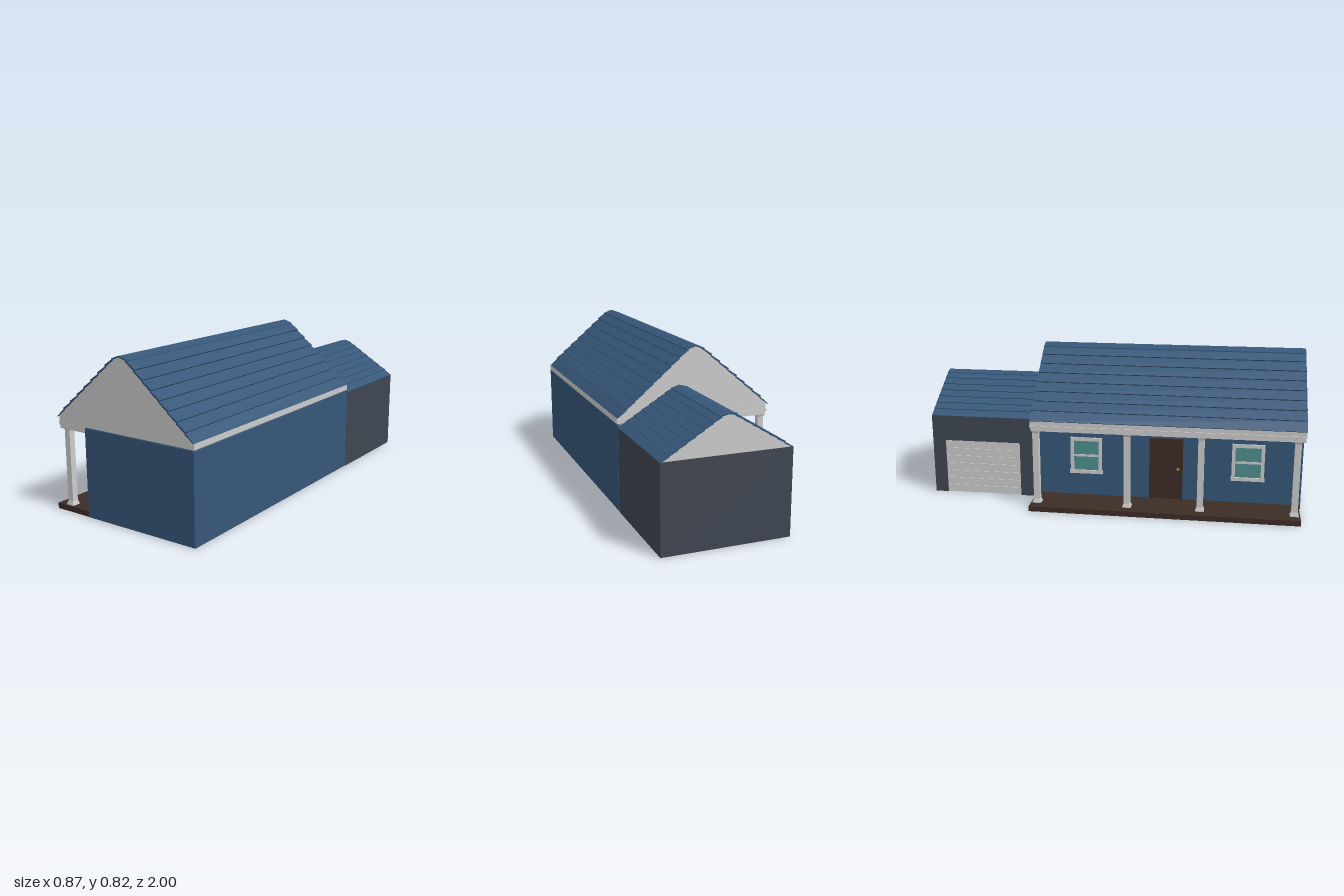
import * as THREE from 'three';
import { RoundedBoxGeometry } from 'three/addons/geometries/RoundedBoxGeometry.js';

const mat = (color) => new THREE.MeshStandardMaterial({ color });
const white = mat(0xcccccc), blue = mat(0x375779), slate = mat(0x3f4651);
const brown = mat(0x3d2c26), glass = mat(0x4f8f8f), brass = mat(0x8a7a3c);

function add(parent, name, geometry, material, x = 0, y = 0, z = 0) {
  const mesh = new THREE.Mesh(geometry, material);
  mesh.name = name;
  mesh.position.set(x, y, z);
  parent.add(mesh);
  return mesh;
}

// Box given by its limits on each axis
function box(parent, name, material, [x0, x1], [y0, y1], [z0, z1], radius = 0) {
  const size = [x1 - x0, y1 - y0, z1 - z0];
  const geometry = radius ? new RoundedBoxGeometry(...size, 2, radius) : new THREE.BoxGeometry(...size);
  return add(parent, name, geometry, material, (x0 + x1) / 2, (y0 + y1) / 2, (z0 + z1) / 2);
}

// Outline in the xy plane, run along z
function prism(parent, name, material, points, z0, z1) {
  const shape = new THREE.Shape(points.map(([x, y]) => new THREE.Vector2(x, y)));
  const geometry = new THREE.ExtrudeGeometry(shape, { depth: z1 - z0, bevelEnabled: false });
  return add(parent, name, geometry, material, 0, 0, z0);
}

// Gable block with overlapping shingle rows and a ridge cap
function makeRoof(name, { cx, half, eave, top, capHalf, capDrop, z0, z1, rows, lift }) {
  const roof = new THREE.Group();
  roof.name = name;
  const capY = top - capDrop;
  prism(roof, 'gable', white, [
    [cx - half + 0.008, eave], [cx + half - 0.008, eave],
    [cx + capHalf, capY - 0.006], [cx, top - 0.005], [cx - capHalf, capY - 0.006],
  ], z0, z1);
  const run = half - capHalf, rise = capY - eave, len = Math.hypot(run, rise);
  const nx = rise / len, ny = run / len;
  for (const s of [-1, 1]) {
    for (let i = 0; i < rows; i++) {
      const at = (t, h) => [cx + s * (half - run * t + nx * h), eave + rise * t + ny * h];
      const a = i / rows, b = (i + 1) / rows;
      const up = i ? lift : 0;
      prism(roof, 'shingleRow', blue, [at(a, -0.004), at(a, up), at(b, 0), at(b, -0.008)], z0 - 0.001, z1 + 0.001);
    }
  }
  const w = capHalf + 0.008;
  prism(roof, 'ridgeCap', blue, [
    [cx - w, capY - 0.005], [cx - w, capY], [cx - 0.008, top - 0.002], [cx, top],
    [cx + 0.008, top - 0.002], [cx + w, capY], [cx + w, capY - 0.005], [cx, top - 0.008],
  ], z0 - 0.001, z1 + 0.001);
  return roof;
}

// Square porch post with flared base and capital
function makePost(x, z) {
  const post = new THREE.Group();
  post.name = 'porchPost';
  post.position.set(x, 0, z);
  const flare = (name, topW, botW, y0, y1) => {
    const g = new THREE.CylinderGeometry(topW * Math.SQRT1_2, botW * Math.SQRT1_2, y1 - y0, 4, 1).toNonIndexed();
    g.rotateY(Math.PI / 4);
    g.computeVertexNormals();
    add(post, name, g, white, 0, (y0 + y1) / 2, 0);
  };
  flare('postFoot', 0.045, 0.045, 0.028, 0.033);
  flare('postBase', 0.032, 0.043, 0.033, 0.05);
  flare('postShaft', 0.032, 0.032, 0.05, 0.412);
  flare('postCapital', 0.042, 0.032, 0.412, 0.426);
  return post;
}

// Sash window on the porch wall
function makeWindow(z) {
  const win = new THREE.Group();
  win.name = 'window';
  const w = 0.085, x = [-0.232, -0.218], y0 = 0.152, y1 = 0.352;
  box(win, 'glassPane', glass, [-0.225, -0.218], [y0, y1], [z - w + 0.01, z + w - 0.01]);
  for (const s of [-1, 1]) {
    const edge = z + s * (w - 0.009);
    box(win, 'windowJamb', white, x, [y0, y1], [edge - 0.009, edge + 0.009]);
  }
  box(win, 'windowSill', white, [-0.235, -0.218], [y0, y0 + 0.018], [z - w - 0.004, z + w + 0.004]);
  box(win, 'windowHead', white, x, [y1 - 0.018, y1], [z - w, z + w]);
  box(win, 'meetingRail', white, [-0.229, -0.218], [0.246, 0.258], [z - w, z + w]);
  return win;
}

function makeDoor(z) {
  const door = new THREE.Group();
  door.name = 'frontDoor';
  box(door, 'doorLeaf', brown, [-0.225, -0.218], [0.028, 0.35], [z - 0.08, z + 0.08]);
  for (const s of [-1, 1]) {
    const edge = z + s * 0.081;
    box(door, 'doorJamb', brown, [-0.231, -0.218], [0.028, 0.365], [edge - 0.008, edge + 0.008]);
    for (const [y0, y1] of [[0.055, 0.17], [0.22, 0.325]]) {
      const mid = z + s * 0.036;
      box(door, 'doorPanel', brown, [-0.228, -0.218], [y0, y1], [mid - 0.026, mid + 0.026]);
    }
  }
  box(door, 'doorHead', brown, [-0.231, -0.218], [0.35, 0.365], [z - 0.089, z + 0.089]);
  const stem = add(door, 'knobStem', new THREE.CylinderGeometry(0.004, 0.004, 0.014, 10), brass, -0.23, 0.2, z + 0.064);
  stem.rotation.z = Math.PI / 2;
  const knob = add(door, 'knob', new THREE.SphereGeometry(0.009, 14, 10), brass, -0.238, 0.2, z + 0.064);
  knob.scale.x = 0.8;
  return door;
}

function makeGarage() {
  const garage = new THREE.Group();
  garage.name = 'garage';
  const zr = [-0.93, -0.51], top = 0.3, back = -0.2;
  // Walls around the door opening
  box(garage, 'garageBody', slate, [back, 0.432], [0, 0.44], [-1, -0.418]);
  box(garage, 'doorSideWall', slate, [-0.215, back], [0, 0.44], [-1, zr[0]]);
  box(garage, 'doorSideWall', slate, [-0.215, back], [0, 0.44], [zr[1], -0.418]);
  box(garage, 'doorLintel', slate, [-0.215, back], [top, 0.44], zr);
  // Sectional door
  const rows = 7, h = top / rows;
  box(garage, 'garageDoor', white, [-0.206, back], [0, top], zr);
  for (let i = 0; i < rows; i++) {
    box(garage, 'garageDoorPanel', white, [-0.21, back], [i * h + 0.002, (i + 1) * h - 0.002], zr);
  }
  garage.add(makeRoof('garageRoof', {
    cx: 0.109, half: 0.324, eave: 0.44, top: 0.63, capHalf: 0.035, capDrop: 0.012,
    z0: -0.998, z1: -0.419, rows: 7, lift: 0.004,
  }));
  return garage;
}

export function createModel() {
  const house = new THREE.Group();
  house.name = 'house';

  // Main block and porch floor
  box(house, 'mainWalls', blue, [-0.22, 0.435], [0.002, 0.455], [-0.415, 1], 0.006);
  box(house, 'porchDeck', brown, [-0.437, -0.215], [0, 0.028], [-0.412, 0.99]);

  // Entablature around the roof base and porch beams below it
  box(house, 'frieze', white, [-0.387, 0.434], [0.455, 0.484], [-0.405, 0.998]);
  box(house, 'cornice', white, [-0.393, -0.215], [0.447, 0.455], [-0.408, 0.999]);
  box(house, 'porchBeam', white, [-0.387, -0.34], [0.425, 0.447], [-0.403, 0.995]);
  for (const z of [-0.38, 0.972]) {
    box(house, 'porchEndBeam', white, [-0.387, -0.215], [0.425, 0.447], [z - 0.023, z + 0.023]);
  }
  for (let i = 0; i < 70; i++) {
    const z = -0.395 + i * 0.02;
    box(house, 'dentil', white, [-0.391, -0.385], [0.44, 0.447], [z, z + 0.01]);
  }

  house.add(makeRoof('mainRoof', {
    cx: 0.0165, half: 0.417, eave: 0.484, top: 0.822, capHalf: 0.04, capDrop: 0.017,
    z0: -0.404, z1: 0.998, rows: 8, lift: 0.007,
  }));

  // Porch posts, windows and door are laid out around the middle of the facade
  const mid = 0.29;
  for (const d of [-0.67, -0.19, 0.19, 0.67]) house.add(makePost(-0.363, mid + d));
  for (const d of [-0.43, 0.43]) house.add(makeWindow(mid + d));
  house.add(makeDoor(mid));
  house.add(makeGarage());
  return house;
}
